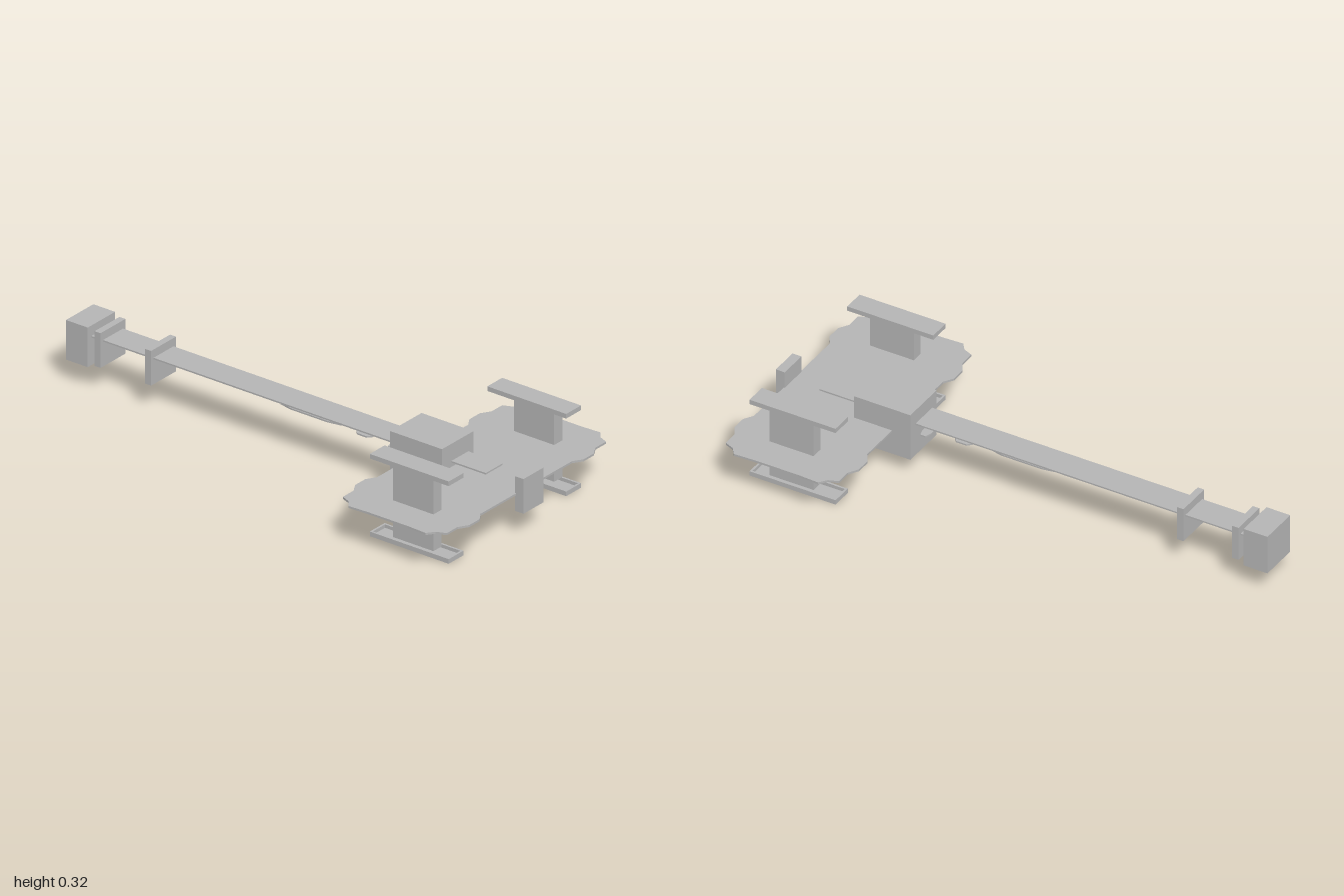
import * as THREE from 'three';

const grey = new THREE.MeshStandardMaterial({ color: 0xb4b4b4 });
grey.name = 'plainGrey';

// Box given by its lower and upper limits on each axis
function box(name, [x0, x1], [y0, y1], [z0, z1]) {
  const mesh = new THREE.Mesh(new THREE.BoxGeometry(x1 - x0, y1 - y0, z1 - z0), grey);
  mesh.position.set((x0 + x1) / 2, (y0 + y1) / 2, (z0 + z1) / 2);
  mesh.name = name;
  return mesh;
}

// Flat plate from an outline of [x, z] points, rising from y
function plate(name, points, y, thickness) {
  const shape = new THREE.Shape(points.map(([x, z]) => new THREE.Vector2(x, -z)));
  const geometry = new THREE.ExtrudeGeometry(shape, { depth: thickness, bevelEnabled: false });
  geometry.rotateX(-Math.PI / 2);
  const mesh = new THREE.Mesh(geometry, grey);
  mesh.position.y = y;
  mesh.name = name;
  return mesh;
}

// Shallow tray: thin floor with a rim facing up
function tray(name) {
  const w = 0.042, l = 0.174, rim = 0.008;
  const outline = (a, b) => [[-a, -b], [a, -b], [a, b], [-a, b]].map(([x, y]) => new THREE.Vector2(x, y));
  const frame = new THREE.Shape(outline(w, l));
  frame.holes.push(new THREE.Path(outline(w - rim, l - rim)));
  const geometry = new THREE.ExtrudeGeometry(frame, { depth: 0.018, bevelEnabled: false });
  geometry.rotateX(-Math.PI / 2);
  const group = new THREE.Group();
  group.add(new THREE.Mesh(geometry, grey));
  group.add(box('trayFloor', [-w + rim, w - rim], [0, 0.005], [-l + rim, l - rim]));
  group.children[0].name = 'trayRim';
  group.name = name;
  return group;
}

export function createModel() {
  const model = new THREE.Group();
  model.name = 'hammer';

  // Head plate: one quarter of the wavy outline, mirrored four ways
  const quarter = [
    [0.49, 0.09], [0.494, 0.17], [0.465, 0.192], [0.45, 0.229], [0.39, 0.229],
    [0.37, 0.241], [0.352, 0.252], [0.294, 0.252], [0.275, 0.24], [0.258, 0.229],
  ];
  const side = (sx, sz) => quarter.map(([x, z]) => [x * sx, 0.739 + z * sz]);
  model.add(plate('headPlate', [
    ...side(1, 1), ...side(-1, 1).reverse(), ...side(-1, -1), ...side(1, -1).reverse(),
  ], 0.157, 0.008));

  // Posts through the head, each with a tray at both ends
  for (const s of [-1, 1]) {
    const x = s * 0.332;
    const px = s * 0.341;
    model.add(box('headPost', [px - 0.023, px + 0.023], [0.022, 0.303], [0.664, 0.842]));
    const lower = tray('lowerTray');
    lower.position.set(x, 0, 0.743);
    const upper = tray('upperTray');
    upper.rotation.z = Math.PI;
    upper.position.set(x, 0.32, 0.743);
    model.add(lower, upper);
  }

  // Socket block, front plate and tab
  model.add(box('socketBlock', [-0.089, 0.089], [0.067, 0.255], [0.436, 0.665]));
  model.add(box('frontPlate', [-0.058, 0.056], [0.095, 0.23], [0.964, 1]));
  model.add(box('topTab', [-0.053, 0.043], [0.193, 0.199], [0.678, 0.83]));

  // Handle, rings and pommel
  model.add(box('handle', [-0.06, 0.053], [0.193, 0.199], [-0.905, 0.44]));
  for (const z of [-0.643, -0.866]) {
    model.add(box('handleRing', [-0.074, 0.067], [0.096, 0.231], [z - 0.013, z + 0.013]));
  }
  model.add(box('pommel', [-0.081, 0.074], [0.086, 0.24], [-1, -0.904]));

  // Thin scraps under the handle: centre x, centre z, half width, half length
  const scraps = [[0.008, 0.402, 0.052, 0.018], [0, 0.265, 0.03, 0.035], [0, 0.025, 0.02, 0.133]];
  for (const [cx, cz, w, l] of scraps) {
    const points = [[-1, -0.6], [-0.5, -1], [0.5, -1], [1, -0.6], [1, 0.6], [0.5, 1], [-0.5, 1], [-1, 0.6]];
    model.add(plate('handleScrap', points.map(([x, z]) => [cx + x * w, cz + z * l]).reverse(), 0.159, 0.006));
  }
  return model;
}
